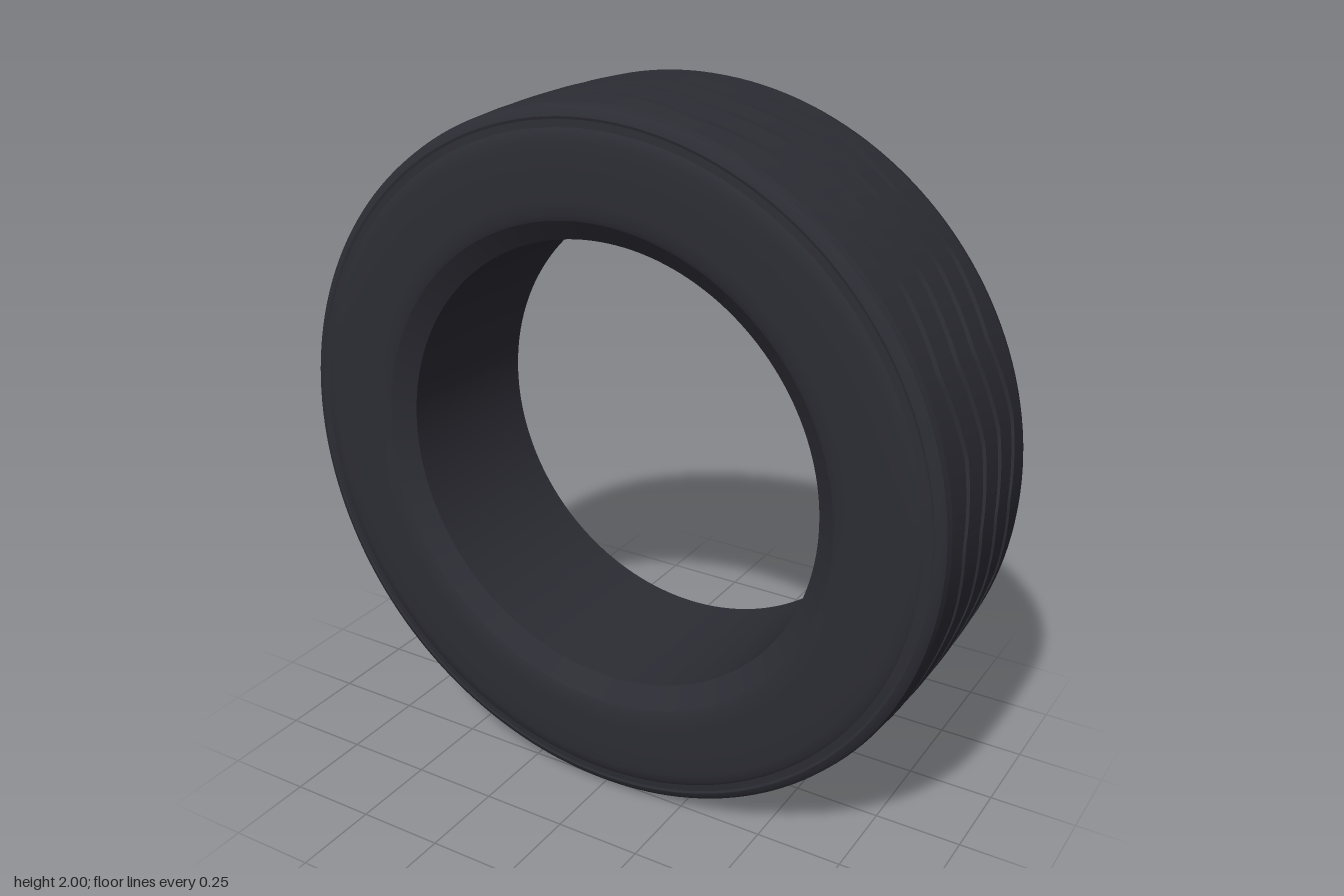
import * as THREE from 'three';
import { toCreasedNormals } from 'three/addons/utils/BufferGeometryUtils.js';

const WAVES = 14;            // zigzags around the tyre
const SEGMENTS = WAVES * 12;
const SWING = 0.017;         // sideways swing of a groove

// triangle wave from -1 to 1 around the wheel
function zigzag(angle) {
  const t = (WAVES * (angle - Math.PI / 2)) / (2 * Math.PI);
  const f = t - Math.floor(t);
  return 1 - 4 * Math.abs(f - 0.5) === 1 ? 1 : 1 - 4 * Math.abs(f - 0.5);
}

// sweep a profile of [radius, z, swing] around the z axis; profile runs front to back on the outside
function sweep(profile, name, material) {
  const positions = [], index = [];
  const n = SEGMENTS;
  for (const [r, z, swing = 0] of profile) {
    for (let j = 0; j < n; j++) {
      const a = (j / n) * Math.PI * 2;
      positions.push(r * Math.cos(a), 1 + r * Math.sin(a), z + swing * zigzag(a));
    }
  }
  for (let i = 0; i < profile.length - 1; i++) {
    for (let j = 0; j < n; j++) {
      const k = (j + 1) % n;
      const a = i * n + j, b = (i + 1) * n + j, c = i * n + k, d = (i + 1) * n + k;
      index.push(a, b, c, b, d, c);
    }
  }
  const geometry = new THREE.BufferGeometry();
  geometry.setAttribute('position', new THREE.Float32BufferAttribute(positions, 3));
  geometry.setIndex(index);
  const mesh = new THREE.Mesh(toCreasedNormals(geometry, 0.5), material);
  mesh.name = name;
  return mesh;
}

const mirrored = (profile) => profile.map(([r, z]) => [r, -z]).reverse();

export function createModel() {
  const group = new THREE.Group();
  group.name = 'tyre';
  const rubber = new THREE.MeshStandardMaterial({ color: 0x2c2c34 });
  rubber.name = 'dark rubber';

  // bevelled bead, flat sidewall and thin rim line
  const bead = [[0.642, 0.25], [0.7, 0.292]];
  const sidewall = [
    [0.7, 0.292], [0.715, 0.298], [0.75, 0.3], [0.84, 0.3], [0.9, 0.297],
    [0.925, 0.293], [0.935, 0.286], [0.955, 0.284],
  ];
  const shoulder = [[0.955, 0.284], [0.962, 0.286], [0.975, 0.281], [0.987, 0.27], [0.992, 0.25]];
  const sides = { bead, sidewall, shoulder };
  for (const [name, profile] of Object.entries(sides)) {
    group.add(sweep(profile, name + 'Front', rubber));
    group.add(sweep(mirrored(profile), name + 'Back', rubber));
  }

  // crowned tread with four zigzag grooves
  const crown = (z) => 1 - 0.128 * z * z;
  const tread = [[crown(0.25), 0.25]];
  for (const z of [0.16, 0.053, -0.053, -0.16]) {
    const r = crown(z);
    tread.push(
      [r, z + 0.012, SWING], [r - 0.02, z + 0.007, SWING],
      [r - 0.02, z - 0.007, SWING], [r, z - 0.012, SWING],
    );
  }
  tread.push([crown(0.25), -0.25]);
  group.add(sweep(tread, 'tread', rubber));

  // inner bore
  group.add(sweep([[0.642, -0.25], [0.642, 0.25]], 'bore', rubber));
  return group;
}
